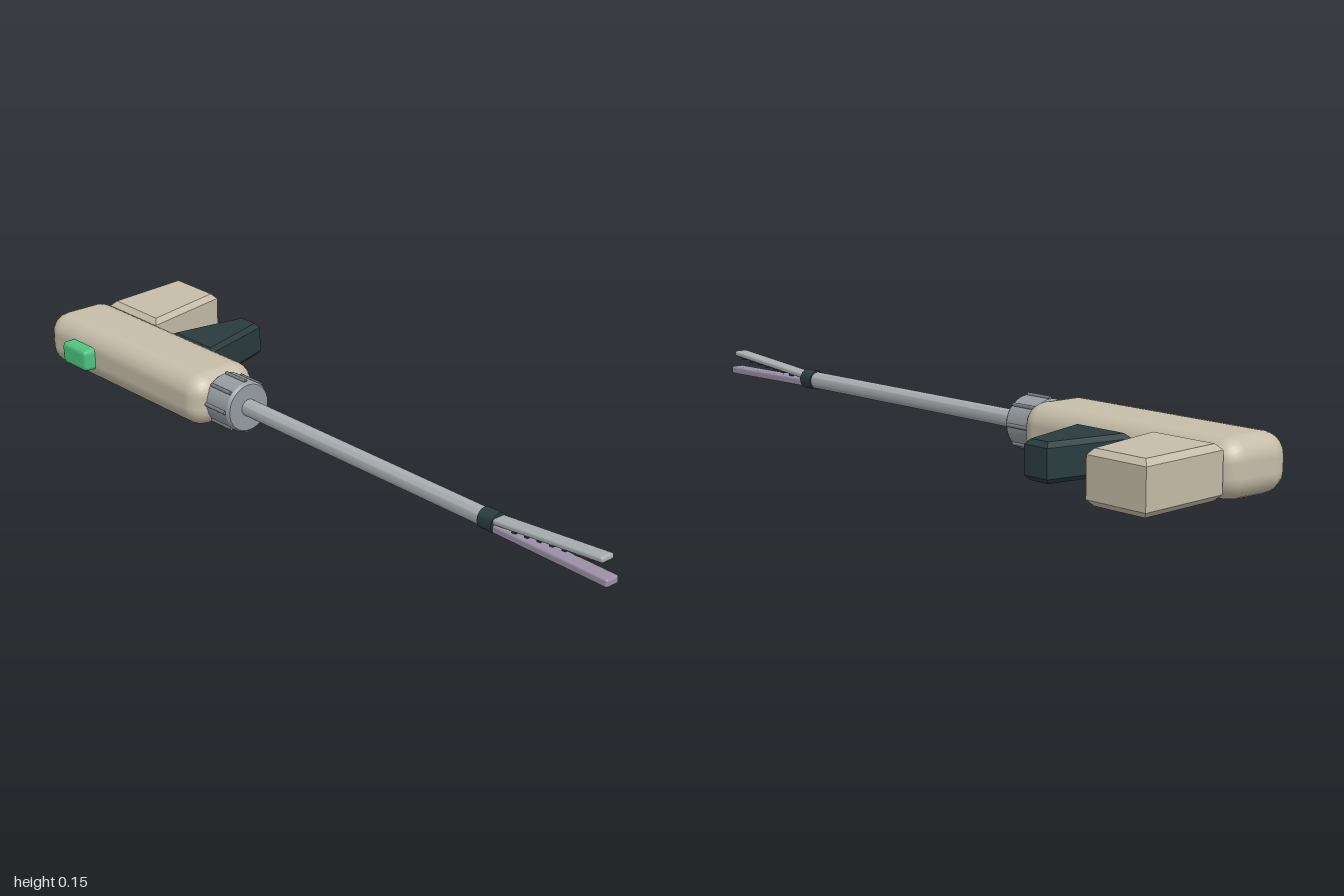
import * as THREE from 'three';
import { RoundedBoxGeometry } from 'three/addons/geometries/RoundedBoxGeometry.js';
import { toCreasedNormals } from 'three/addons/utils/BufferGeometryUtils.js';

const AXIS_Y = 0.077, AXIS_Z = 0.115; // centre line of the shaft

function material(name, color) {
  const m = new THREE.MeshStandardMaterial({ color });
  m.name = name;
  return m;
}

export function createModel() {
  const model = new THREE.Group();
  model.name = 'graspingInstrument';
  const shell = material('beigeShell', 0xc6bda9);
  const dark = material('darkGreenGrey', 0x2a3b3e);
  const steel = material('steel', 0xa8aeb0);
  const knobGrey = material('knobGrey', 0x969ca0);
  const ribGrey = material('ribGrey', 0x7c8286);
  const green = material('greenButton', 0x4fc582);
  const mauve = material('mauveJaw', 0x9a90a6);

  function add(name, geometry, mat, x = 0, y = 0, z = 0, parent = model) {
    const mesh = new THREE.Mesh(geometry, mat);
    mesh.name = name;
    mesh.position.set(x, y, z);
    parent.add(mesh);
    return mesh;
  }

  // Slab with a chamfered outline drawn in x and z, centred on height y
  function slab(name, points, height, bevel, mat, y) {
    const shape = new THREE.Shape(points.map(([x, z]) => new THREE.Vector2(x, z)));
    const geometry = new THREE.ExtrudeGeometry(shape, {
      depth: height - 2 * bevel, bevelThickness: bevel, bevelSize: bevel,
      bevelOffset: -bevel, bevelSegments: 1,
    });
    geometry.translate(0, 0, -(height - 2 * bevel) / 2).rotateX(Math.PI / 2);
    add(name, geometry, mat, 0, y, 0);
  }

  // Solid turned about the x axis from [x, radius] pairs
  function turned(name, profile, mat, sides = 32) {
    const pts = profile.map(([x, r]) => new THREE.Vector2(r, x));
    const geometry = toCreasedNormals(
      new THREE.LatheGeometry(pts, sides).rotateZ(-Math.PI / 2), 0.5);
    add(name, geometry, mat, 0, AXIS_Y, AXIS_Z);
  }

  // Housing, rear grip and trigger
  add('body', new RoundedBoxGeometry(0.68, 0.143, 0.204, 3, 0.055), shell, -0.66, 0.0765, 0.114);
  slab('rearGrip', [[-1, -0.247], [-0.823, -0.247], [-0.763, 0.014], [-0.975, 0.014]],
    0.126, 0.014, shell, 0.076);
  slab('trigger', [[-0.668, -0.215], [-0.593, -0.215], [-0.522, 0.014], [-0.7, 0.014]],
    0.094, 0.012, dark, 0.076);

  // Side button
  add('button', new RoundedBoxGeometry(0.112, 0.062, 0.06, 1, 0.014), green, -0.822, 0.076, 0.218);

  // Turning knob with grip ribs
  turned('knob', [[-0.338, 0], [-0.338, 0.06], [-0.328, 0.067], [-0.244, 0.067],
    [-0.236, 0.062], [-0.236, 0]], knobGrey);
  const rib = new THREE.CylinderGeometry(0.005, 0.005, 0.078, 8).rotateZ(Math.PI / 2);
  for (let i = 0; i < 8; i++) {
    const a = i * Math.PI / 4;
    add('knobRib', rib, ribGrey, -0.286, AXIS_Y + 0.068 * Math.cos(a), AXIS_Z + 0.068 * Math.sin(a));
  }

  // Shaft and hinge collar
  turned('shaft', [[-0.24, 0], [-0.24, 0.0225], [0.62, 0.0225], [0.62, 0]], steel);
  turned('hingeCollar', [[0.61, 0], [0.61, 0.026], [0.655, 0.026], [0.655, 0]], dark);

  // Jaws, each pivoting at the collar
  function jaw(name, y, angle, length, thickness, mat) {
    const group = new THREE.Group();
    group.name = name;
    group.position.set(0.645, y, AXIS_Z);
    group.rotation.z = angle;
    model.add(group);
    add(name + 'Blade', new RoundedBoxGeometry(length, thickness, 0.04, 2, 0.006), mat,
      length / 2, 0, 0, group);
    return group;
  }
  const upper = jaw('upperJaw', 0.085, 0.086, 0.337, 0.015, steel);
  jaw('lowerJaw', 0.068, -0.012, 0.352, 0.021, mauve);

  // Teeth under the upper jaw
  const tooth = new THREE.BoxGeometry(0.012, 0.006, 0.032);
  for (let i = 0; i < 7; i++) add('tooth', tooth, dark, 0.07 + i * 0.038, -0.009, 0, upper);

  return model;
}
